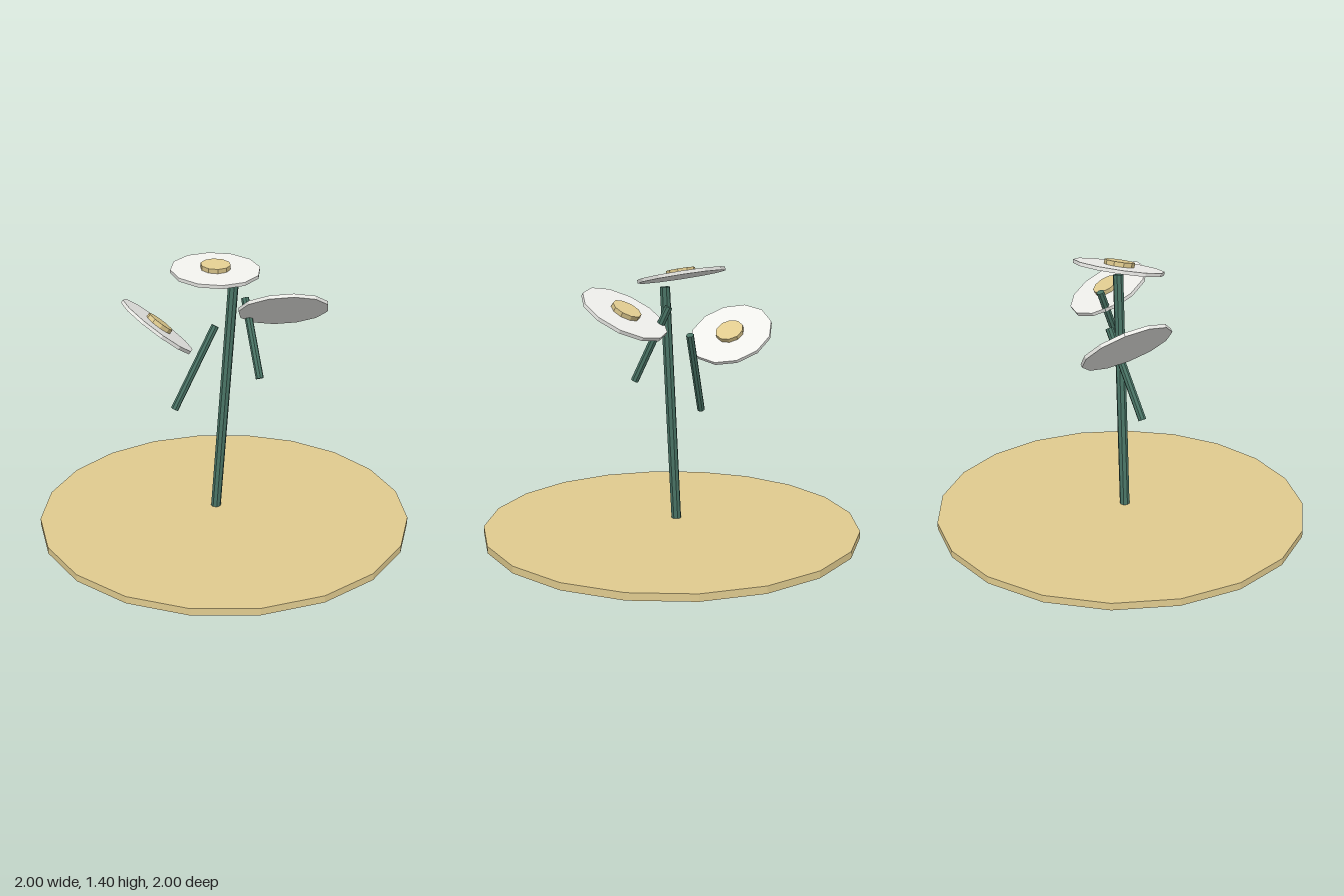
import * as THREE from 'three';

const UP = new THREE.Vector3(0, 1, 0);
const flat = (color) => new THREE.MeshStandardMaterial({ color, flatShading: true });

export function createModel() {
  const model = new THREE.Group();
  const sand = flat(0xe0cb8f);
  const white = flat(0xeeeeea);
  const green = flat(0x4a7566);

  const disc = (name, radius, height, sides, material, y, parent) => {
    const mesh = new THREE.Mesh(new THREE.CylinderGeometry(radius, radius, height, sides), material);
    mesh.name = name;
    mesh.position.y = y;
    parent.add(mesh);
    return mesh;
  };

  // Round ground plate
  disc('base', 1, 0.036, 20, sand, 0.018, model);

  // Straight stems, given by their end points
  const stem = (name, from, to, radius) => {
    const a = new THREE.Vector3(...from);
    const b = new THREE.Vector3(...to);
    const dir = b.clone().sub(a);
    const mesh = disc(name, radius, dir.length(), 8, green, 0, model);
    mesh.position.copy(a).lerp(b, 0.5);
    mesh.quaternion.setFromUnitVectors(UP, dir.normalize());
  };
  stem('mainStem', [-0.046, 0.02, -0.005], [0.046, 1.29, 0.013], 0.027);
  stem('rightStem', [-0.26, 0.605, -0.042], [-0.032, 1.04, -0.092], 0.021);
  stem('leftStem', [0.165, 0.81, 0.126], [0.118, 1.193, -0.05], 0.021);

  // Flower heads: a petal disc with a raised centre, tilted along a normal
  const flower = (name, position, normal) => {
    const head = new THREE.Group();
    head.name = name;
    disc('petals', 0.23, 0.018, 12, white, 0, head);
    disc('flowerCentre', 0.077, 0.03, 10, sand, 0.017, head);
    head.position.set(...position);
    head.quaternion.setFromUnitVectors(UP, new THREE.Vector3(...normal).normalize());
    model.add(head);
  };
  flower('topFlower', [-0.038, 1.347, -0.037], [0, 0.985, 0.172]);
  flower('rightFlower', [-0.328, 1.025, -0.185], [0.62, 0.785, -0.03]);
  flower('leftFlower', [0.285, 1.163, 0.106], [0.04, 0.857, -0.515]);

  return model;
}
